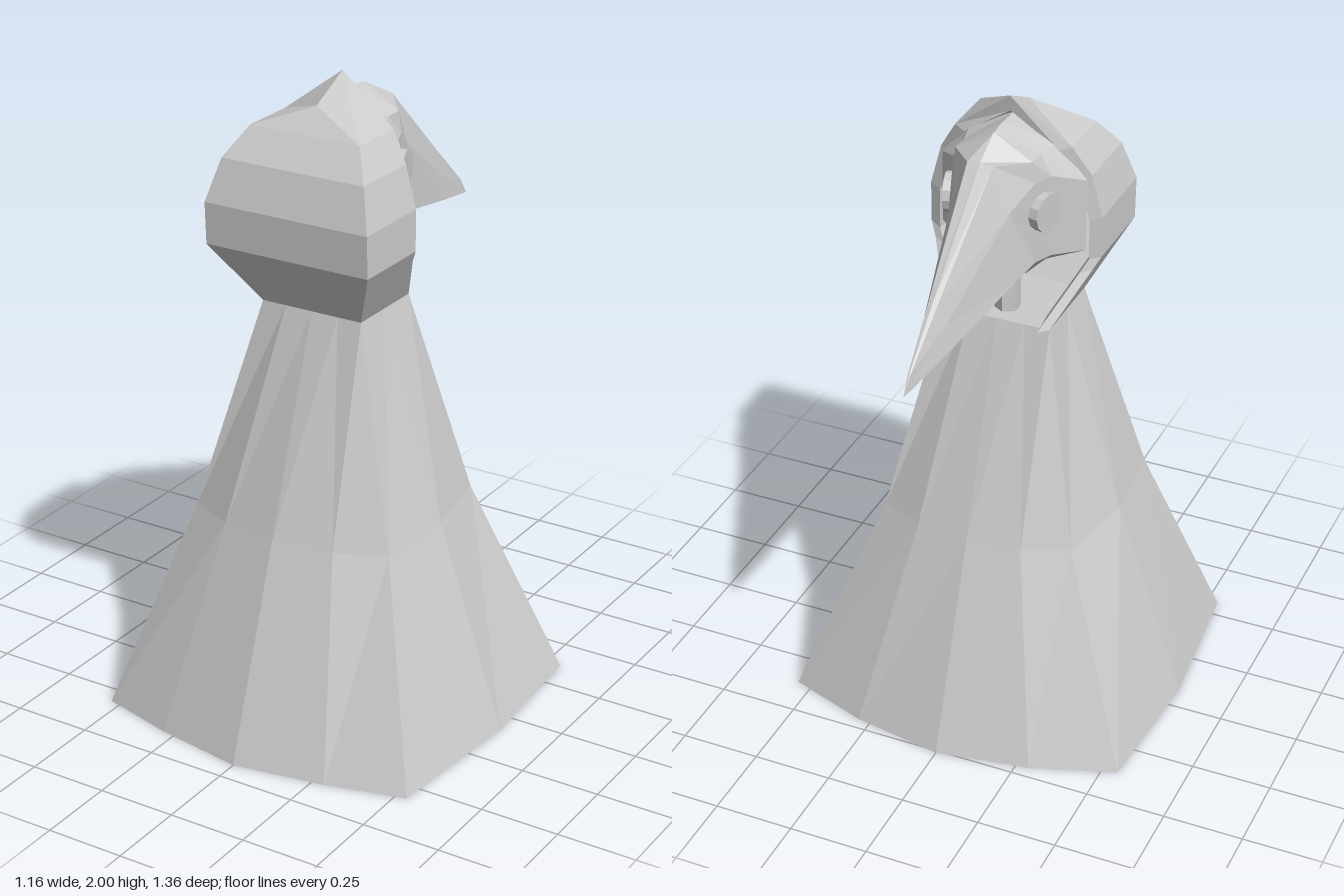
import * as THREE from 'three';

const grey = new THREE.MeshStandardMaterial({ color: 0xcccccc, flatShading: true, side: THREE.DoubleSide });

// Skins a list of equal-length rings; closed rings wrap round, caps are fans about the ring centre.
function loft(rings, closed, capStart, capEnd) {
  const n = rings[0].length, pos = rings.flat(2), idx = [];
  for (let i = 0; i < rings.length - 1; i++) {
    for (let j = 0; j < (closed ? n : n - 1); j++) {
      const k = (j + 1) % n;
      const a = i * n + j, b = i * n + k, c = b + n, d = a + n;
      idx.push(a, b, c, a, c, d);
    }
  }
  const cap = (row, flip) => {
    const centre = pos.length / 3;
    for (let q = 0; q < 3; q++) pos.push(rings[row].reduce((s, p) => s + p[q], 0) / n);
    for (let j = 0; j < n; j++) {
      const a = row * n + j, b = row * n + (j + 1) % n;
      idx.push(centre, flip ? b : a, flip ? a : b);
    }
  };
  if (capStart) cap(0, true);
  if (capEnd) cap(rings.length - 1, false);
  const g = new THREE.BufferGeometry();
  g.setAttribute('position', new THREE.Float32BufferAttribute(pos, 3));
  g.setIndex(idx);
  const flat = g.toNonIndexed();
  flat.computeVertexNormals();
  return flat;
}

// Completes a half ring whose first and last points lie on x = 0.
const mirrorRing = half => [...half, ...half.slice(1, -1).reverse().map(([x, y, z]) => [-x, y, z])];

export function createModel() {
  const model = new THREE.Group();
  const add = (name, geometry) => {
    const mesh = new THREE.Mesh(geometry, grey);
    mesh.name = name;
    model.add(mesh);
    return mesh;
  };

  // Flared robe: half outlines [x, z] from +z round to -z
  const robe = [
    [0, [[0, 0.68], [0.29, 0.63], [0.535, 0.565], [0.58, 0.08], [0.55, -0.37], [0.29, -0.46], [0, -0.51]]],
    [0.65, [[0, 0.455], [0.19, 0.42], [0.34, 0.35], [0.36, 0.08], [0.31, -0.19], [0.17, -0.25], [0, -0.27]]],
    [1.31, [[0, 0.23], [0.09, 0.23], [0.17, 0.23], [0.17, 0.1], [0.17, -0.04], [0.09, -0.04], [0, -0.04]]],
  ];
  add('robe', loft(robe.map(([y, half]) => mirrorRing(half.map(([x, z]) => [x, y, z]))), true, true, true));

  // Hood, open towards the mask: [y, half width, z of closed side, z of open edge]
  const rows = [
    [1.31, 0.17, 0.23, -0.04],
    [1.47, 0.254, 0.338, 0.08],
    [1.51, 0.275, 0.365, 0.1],
    [1.64, 0.275, 0.37, 0.1],
    [1.77, 0.24, 0.33, 0.1],
    [1.86, 0.185, 0.262, 0.08],
  ];
  const hood = rows.map(([y, w, zf, zb]) => {
    const side = [[w, y, zf], [w, y, zb], [w - 0.035, y - 0.01, zb - 0.015], [w - 0.045, y - 0.01, zb + 0.07]];
    return [...side.map(([x, h, z]) => [-x, h, z]).reverse(), ...side];
  });
  const peak = [[0, 1.93, 0.195], [0, 2, 0.055], [0, 1.95, 0.06], [0, 1.92, 0.13]];
  hood.push([...[...peak].reverse(), ...peak]);
  add('hood', loft(hood, false));

  // Mask and tapering beak: half sections from top to bottom, [z, [x, y] points]
  const mask = [
    [0.085, [[0, 1.935], [0.14, 1.865], [0.23, 1.76], [0.23, 1.53], [0.1, 1.47], [0, 1.465]]],
    [0, [[0, 1.94], [0.12, 1.865], [0.155, 1.8], [0.155, 1.54], [0.08, 1.465], [0, 1.455]]],
    [-0.06, [[0, 1.935], [0.12, 1.865], [0.13, 1.8], [0.13, 1.54], [0.06, 1.47], [0, 1.46]]],
    [-0.155, [[0, 1.885], [0.04, 1.88], [0.09, 1.74], [0.117, 1.53], [0.06, 1.525], [0, 1.525]]],
    [-0.47, [[0, 1.61], [0.015, 1.605], [0.035, 1.53], [0.048, 1.453], [0.024, 1.453], [0, 1.453]]],
    [-0.64, [[0, 1.46], [0.004, 1.458], [0.007, 1.435], [0.01, 1.414], [0.005, 1.414], [0, 1.414]]],
    [-0.68, Array(6).fill([0, 1.405])],
  ];
  add('beakedMask', loft(mask.map(([z, half]) => mirrorRing(half.map(([x, y]) => [x, y, z]))), true, true));

  // Round eyepieces
  for (const s of [1, -1]) {
    const eye = add('eyepiece', new THREE.CylinderGeometry(0.06, 0.06, 0.05, 12));
    eye.rotation.set(0, s * 0.25, Math.PI / 2);
    eye.position.set(s * 0.14, 1.7, -0.03);
  }

  // Neck under the mask
  const neck = add('neck', new THREE.CylinderGeometry(0.04, 0.04, 0.18, 6));
  neck.position.set(0, 1.39, 0.04);

  return model;
}
